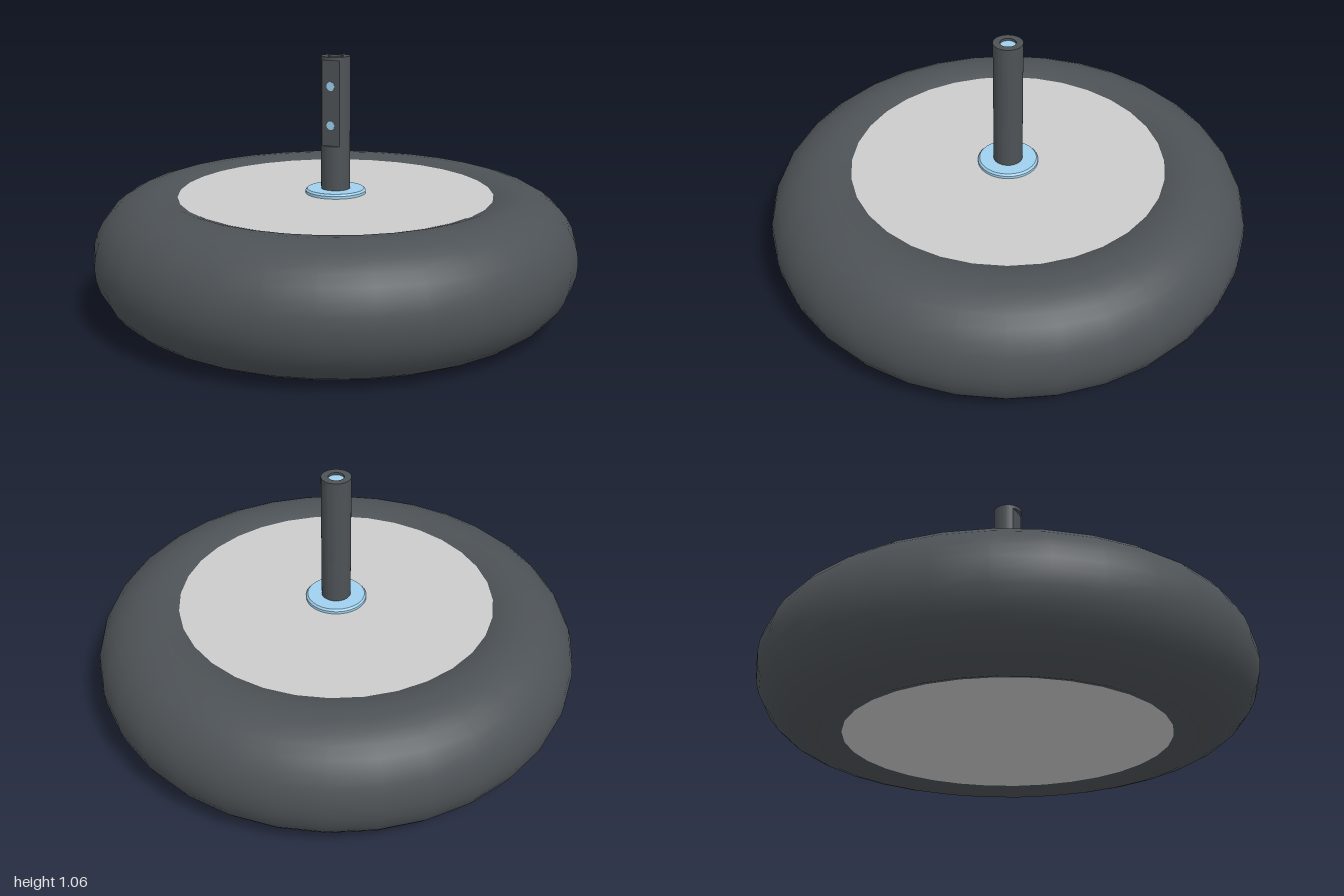
import * as THREE from 'three';
import { toCreasedNormals } from 'three/addons/utils/BufferGeometryUtils.js';

const rubber = new THREE.MeshStandardMaterial({ color: 0x4d5256 });
const blue = new THREE.MeshStandardMaterial({ color: 0x9fd0ee });
const grey = new THREE.MeshStandardMaterial({ color: 0xcccccc });

const R = 0.06;      // post radius
const BORE = 0.032;  // bore radius
const FLAT = 0.045;  // depth of the flat on the front of the post

export function createModel() {
  const group = new THREE.Group();

  const add = (name, geometry, material, y = 0, z = 0) => {
    const mesh = new THREE.Mesh(geometry, material);
    mesh.name = name;
    mesh.position.set(0, y, z);
    group.add(mesh);
    return mesh;
  };

  // Round tyre lying on its side
  add('tire', new THREE.TorusGeometry(0.745, 0.255, 32, 32).rotateX(Math.PI / 2), rubber, 0.255);

  // Solid hub, its rim buried in the tyre
  add('hub', new THREE.CylinderGeometry(0.7, 0.7, 0.474, 64), grey, 0.255);

  // Flange with a bevelled rim
  const flange = [[0, 0.485], [0.125, 0.485], [0.125, 0.503], [0.118, 0.511], [0, 0.511]]
    .map(([r, y]) => new THREE.Vector2(r, y));
  add('flange', toCreasedNormals(new THREE.LatheGeometry(flange, 48), 0.5), blue);

  // Hollow post section between two heights, optionally with a flat front
  const postSection = (name, y0, y1, flat) => {
    const shape = new THREE.Shape();
    const a = flat ? Math.acos(FLAT / R) : 0;
    shape.absarc(0, 0, R, -Math.PI / 2 + a, Math.PI * 1.5 - a, false);
    shape.closePath();
    const hole = new THREE.Path();
    hole.absarc(0, 0, BORE, 0, Math.PI * 2, true);
    shape.holes.push(hole);
    const geometry = new THREE.ExtrudeGeometry(shape, { depth: y1 - y0, bevelEnabled: false, curveSegments: 32 });
    geometry.rotateX(-Math.PI / 2);
    add(name, toCreasedNormals(geometry, 0.5), rubber, y0);
  };
  postSection('postBase', 0.49, 0.695, false);
  postSection('postFlat', 0.695, 1.045, true);
  postSection('postLip', 1.045, 1.06, false);

  // Core rod inside the post
  add('coreRod', new THREE.CylinderGeometry(BORE, BORE, 0.56, 24), blue, 0.77);

  // Two contact pins on the flat
  for (const y of [0.78, 0.94]) {
    add('pin', new THREE.CylinderGeometry(0.018, 0.018, 0.02, 20).rotateX(Math.PI / 2), blue, y, FLAT - 0.007);
  }

  return group;
}
